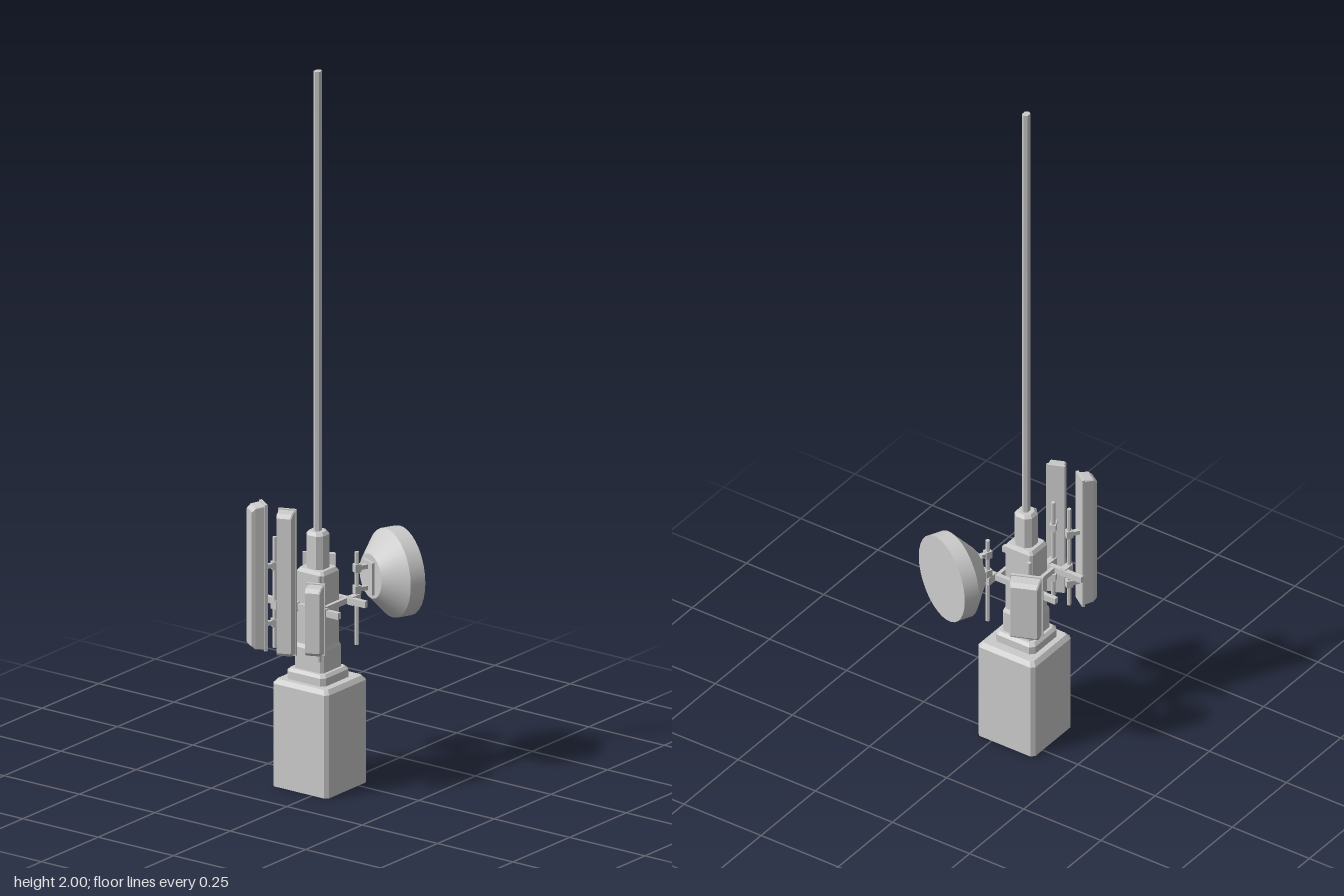
import * as THREE from 'three';

const grey = new THREE.MeshStandardMaterial({ color: 0xcccccc, flatShading: true });
const smooth = new THREE.MeshStandardMaterial({ color: 0xcccccc });

function add(parent, name, geometry, x = 0, y = 0, z = 0, material = grey) {
  const mesh = new THREE.Mesh(geometry, material);
  mesh.name = name;
  mesh.position.set(x, y, z);
  parent.add(mesh);
  return mesh;
}

const box = (w, h, d) => new THREE.BoxGeometry(w, h, d);

// Block with cut corners, lofted upward through rings of [y, width, depth, cut]
function loft(rings) {
  const pos = [], index = [], n = 8;
  for (const [y, w, d, c] of rings) {
    const a = w / 2, b = d / 2;
    const ring = [[a, b - c], [a - c, b], [c - a, b], [-a, b - c], [-a, c - b], [c - a, -b], [a - c, -b], [a, c - b]];
    for (const [x, z] of ring) pos.push(x, y, z);
  }
  for (let r = 0; r < rings.length - 1; r++) {
    for (let i = 0; i < n; i++) {
      const a = r * n + i, b = r * n + (i + 1) % n;
      index.push(a, a + n, b, b, a + n, b + n);
    }
  }
  const top = (rings.length - 1) * n;
  for (let i = 1; i < n - 1; i++) {
    index.push(0, i, i + 1, top, top + i + 1, top + i);
  }
  const g = new THREE.BufferGeometry();
  g.setAttribute('position', new THREE.Float32BufferAttribute(pos, 3));
  g.setIndex(index);
  const flat = g.toNonIndexed();
  flat.computeVertexNormals();
  return flat;
}

// Upright pole with its clamp to the crossbar; local +z points outward
function mount(parent, name, x, z, angle, y0, y1, armYs, armEnd) {
  const group = new THREE.Group();
  group.name = name;
  group.position.set(x, 0, z);
  group.rotation.y = angle;
  parent.add(group);
  add(group, 'mountPole', new THREE.CylinderGeometry(0.006, 0.006, y1 - y0, 8), 0, (y0 + y1) / 2, 0);
  for (const y of armYs) {
    add(group, 'poleClamp', box(0.018, 0.022, 0.018), 0, y, 0);
    add(group, 'bracketArm', box(0.012, 0.012, armEnd), 0, y, armEnd / 2);
  }
  return group;
}

// Antenna panel: back flange and a tapered, bevelled cover
function panel(group, w, y0, y1, z0, depth) {
  const h = y1 - y0, y = (y0 + y1) / 2;
  add(group, 'panelFlange', box(w, h, 0.008), 0, y, z0 + 0.004);
  const cover = loft([
    [0, w * 0.92, h - 0.006, 0.003],
    [depth * 0.7, w * 0.88, h - 0.012, 0.003],
    [depth, w * 0.8, h - 0.032, 0.003],
  ]);
  cover.rotateX(Math.PI / 2);
  add(group, 'panelCover', cover, 0, y, z0 + 0.008);
}

export function createModel() {
  const model = new THREE.Group();
  const cx = -0.045, cz = 0.053;

  // Base and stepped plinth
  add(model, 'base', loft([
    [0, 0.185, 0.182, 0.01], [0.288, 0.185, 0.182, 0.01], [0.3, 0.165, 0.162, 0.008],
  ]), -0.043, 0, 0.048);
  add(model, 'plinth', loft([
    [0.298, 0.128, 0.122, 0.012], [0.322, 0.128, 0.122, 0.012], [0.33, 0.112, 0.106, 0.01],
  ]), cx, 0, cz);

  // Mast column, neck and tall whip
  add(model, 'column', loft([
    [0.33, 0.096, 0.09, 0.007], [0.39, 0.096, 0.09, 0.007], [0.4, 0.09, 0.078, 0.007],
    [0.6, 0.09, 0.078, 0.007], [0.61, 0.076, 0.066, 0.006],
  ]), cx, 0, cz);
  add(model, 'neck', loft([
    [0.6, 0.056, 0.056, 0.014], [0.703, 0.056, 0.056, 0.014], [0.712, 0.042, 0.042, 0.012],
  ]), cx, 0, cz);
  const whip = add(model, 'whip', new THREE.CylinderGeometry(0.013, 0.013, 1.3, 6), cx, 1.35, cz);
  whip.scale.x = 0.8;

  // Crossbars in front and behind, tied past the column sides
  for (const z of [-0.008, 0.111]) {
    add(model, 'crossbar', box(0.255, 0.018, 0.013), -0.058, 0.51, z);
  }
  for (const s of [-1, 1]) {
    add(model, 'crossbarTie', box(0.01, 0.016, 0.119), cx + s * 0.051, 0.51, 0.0515);
  }

  // Front and rear panels: [x, z, angle, pole bottom, pole top, width, panel bottom, panel top, arm heights]
  const rear = Math.PI + 0.41;
  const panels = [
    [-0.125, 0.137, -0.6, 0.39, 0.7, 0.05, 0.39, 0.8, [0.46, 0.62]],
    [-0.073, 0.137, 0.39, 0.39, 0.7, 0.05, 0.39, 0.8, [0.46, 0.62]],
    [0.022, 0.137, 0.39, 0.38, 0.62, 0.05, 0.41, 0.61, [0.45, 0.57]],
    [-0.115, -0.033, rear, 0.38, 0.62, 0.09, 0.41, 0.6, [0.45, 0.56]],
  ];
  for (const [x, z, angle, p0, p1, w, y0, y1, arms] of panels) {
    const g = mount(model, 'panelAntenna', x, z, angle, p0, p1, arms, 0.034);
    panel(g, w, y0, y1, 0.028, 0.036);
    const side = z > 0 ? 1 : -1;
    add(model, 'crossbarClamp', box(0.018, 0.024, 0.036), x, 0.51, z - side * 0.012);
  }

  // Drum dish on its own rear pole
  const dish = mount(model, 'dishAntenna', 0.018, -0.035, Math.PI - 0.43, 0.38, 0.64, [0.535, 0.595], 0.034);
  add(model, 'crossbarClamp', box(0.018, 0.024, 0.036), 0.018, 0.51, -0.023);
  add(dish, 'dishPlate', box(0.055, 0.09, 0.008), 0, 0.565, 0.034);
  const hub = add(dish, 'dishHub', new THREE.CylinderGeometry(0.022, 0.022, 0.012, 16), 0, 0.565, 0.04, smooth);
  hub.rotation.x = Math.PI / 2;
  const sections = [[0, 0.061, 0.061, 0.121], [0.041, 0.121, 0.097, 0.121], [0.097, 0.121, 0.141, 0]];
  const bowl = new THREE.Group();
  bowl.name = 'dishDrum';
  bowl.position.set(0, 0.565, 0.041);
  bowl.rotation.x = Math.PI / 2;
  dish.add(bowl);
  const names = ['dishBack', 'dishRim', 'dishFace'];
  const profiles = [
    [[0, 0], [0.061, 0]],
    [[0.061, 0], [0.121, 0.056]],
    [[0.121, 0.056], [0.121, 0.1]],
    [[0.121, 0.1], [0, 0.1]],
  ];
  ['dishBack', 'dishCone', 'dishRim', 'dishFace'].forEach((name, i) => {
    const points = profiles[i].map(([r, y]) => new THREE.Vector2(r, y));
    add(bowl, name, new THREE.LatheGeometry(points, 32), 0, 0, 0, smooth);
  });

  return model;
}
